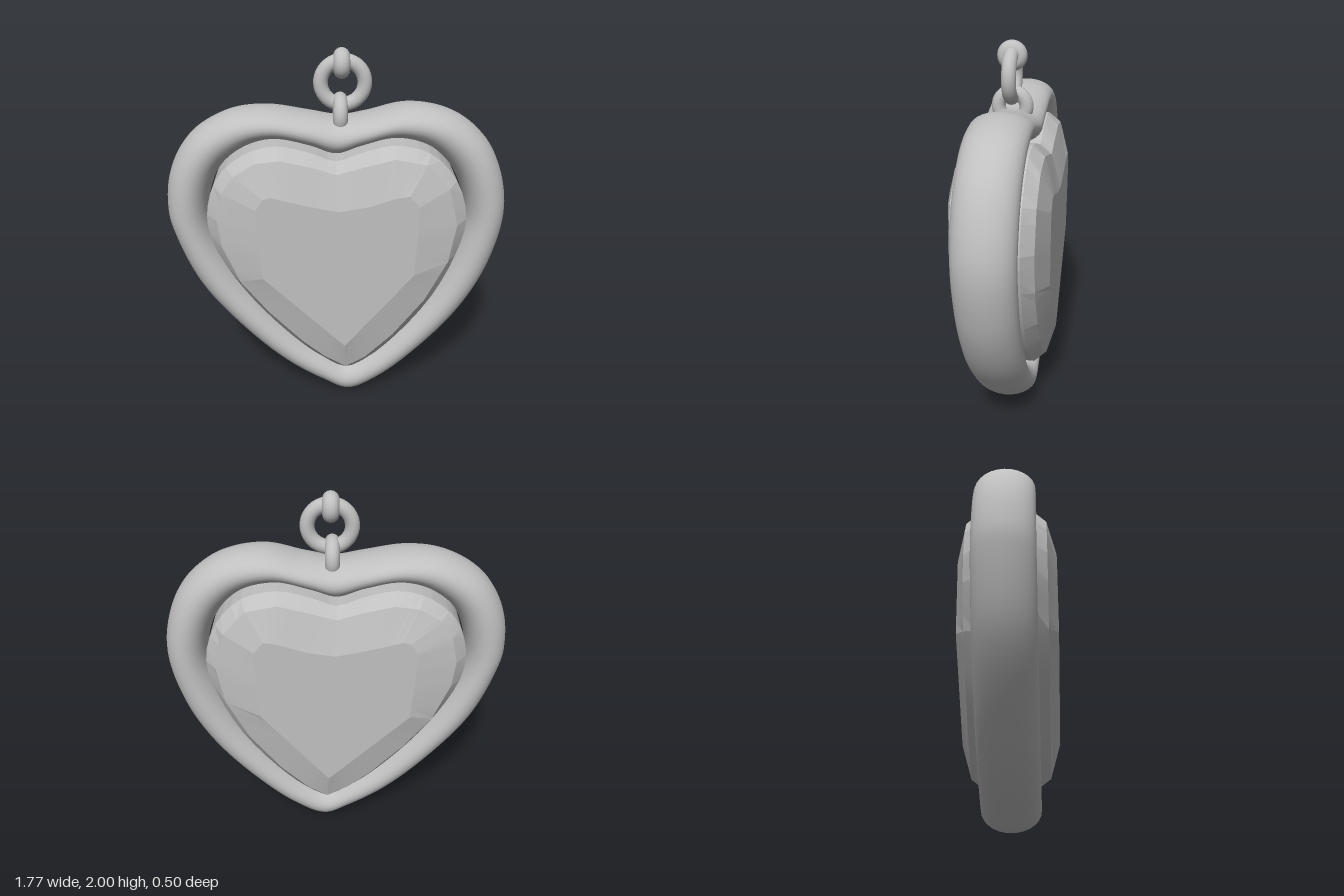
import * as THREE from 'three';
import { toCreasedNormals } from 'three/addons/utils/BufferGeometryUtils.js';

// Heart outlines, clockwise from the notch; the three lists match point by point.
const OUTER = [[0.01, 1.66], [0.15, 1.68], [0.36, 1.725], [0.59, 1.675], [0.775, 1.51], [0.878, 1.2],
  [0.83, 0.865], [0.695, 0.575], [0.485, 0.31], [0.245, 0.09], [0.065, 0.003], [-0.07, 0.06],
  [-0.31, 0.22], [-0.575, 0.495], [-0.76, 0.76], [-0.865, 1.05], [-0.885, 1.18], [-0.85, 1.395],
  [-0.735, 1.58], [-0.55, 1.69], [-0.36, 1.715], [-0.15, 1.685]];
const INNER = [[-0.01, 1.48], [0.11, 1.52], [0.28, 1.56], [0.46, 1.515], [0.6, 1.37], [0.665, 1.155],
  [0.625, 0.945], [0.51, 0.68], [0.325, 0.425], [0.165, 0.27], [0.045, 0.21], [-0.09, 0.285],
  [-0.21, 0.385], [-0.4, 0.595], [-0.55, 0.81], [-0.655, 1.035], [-0.672, 1.19], [-0.63, 1.35],
  [-0.56, 1.45], [-0.43, 1.535], [-0.3, 1.56], [-0.14, 1.525]];
const TABLE = [[0, 1.25], [0.15, 1.275], [0.28, 1.32], [0.35, 1.33], [0.4, 1.27], [0.4, 1.1],
  [0.39, 0.88], [0.29, 0.755], [0.2, 0.643], [0.1, 0.52], [0.035, 0.44], [-0.035, 0.51],
  [-0.12, 0.597], [-0.26, 0.739], [-0.39, 0.87], [-0.4, 1.05], [-0.405, 1.15], [-0.41, 1.26],
  [-0.37, 1.32], [-0.33, 1.33], [-0.24, 1.305], [-0.12, 1.275]];

const toVectors = (list) => list.map(([x, y]) => new THREE.Vector3(x, y, 0));

// Sample a closed outline, steps per listed point, rounded or straight
function sample(list, steps, smooth) {
  const v = toVectors(list);
  const curve = new THREE.CatmullRomCurve3(v, true, 'centripetal');
  return Array.from({ length: v.length * steps }, (_, k) => {
    if (smooth) return curve.getPoint(k / (v.length * steps));
    const i = Math.floor(k / steps);
    return v[i].clone().lerp(v[(i + 1) % v.length], (k % steps) / steps);
  });
}

// Skin matching closed rings; wrap joins the last ring to the first
function skin(rings, wrap) {
  const n = rings[0].length, m = rings.length, index = [];
  for (let j = 0; j < (wrap ? m : m - 1); j++) {
    for (let i = 0; i < n; i++) {
      const j2 = (j + 1) % m, i2 = (i + 1) % n;
      const a = j * n + i, b = j2 * n + i, c = j * n + i2, d = j2 * n + i2;
      index.push(a, b, c, c, b, d);
    }
  }
  const geometry = new THREE.BufferGeometry().setFromPoints(rings.flat());
  geometry.setIndex(index);
  geometry.computeVertexNormals();
  return geometry;
}

export function createModel() {
  const model = new THREE.Group();
  const silver = new THREE.MeshStandardMaterial({ color: 0xc0c0c0 });
  silver.name = 'silver grey';

  const add = (name, geometry, parent = model) => {
    const mesh = new THREE.Mesh(geometry, silver);
    mesh.name = name;
    parent.add(mesh);
    return mesh;
  };

  // Rounded heart frame: an oval section between the two outlines
  const outer = sample(OUTER, 8, true), inner = sample(INNER, 8, true);
  const sections = 28;
  const frameRings = Array.from({ length: sections }, (_, j) => {
    const a = (j / sections) * Math.PI * 2;
    return outer.map((o, i) => {
      const p = o.clone().lerp(inner[i], 0.5 - 0.5 * Math.cos(a));
      p.z = 0.15 * Math.sin(a);
      return p;
    });
  });
  add('heartFrame', skin(frameRings, true));

  // Faceted gem: girdle, crown and flat table on both sides
  const gem = new THREE.Group();
  gem.name = 'gem';
  model.add(gem);
  const centre = new THREE.Vector3(0, 0.95, 0);
  const girdle = sample(INNER, 3, true).map((p) => p.lerp(centre, 0.008));
  const coarse = sample(INNER, 3, false);
  const table = sample(TABLE, 3, false);
  const middle = table.map((p, i) => p.clone().lerp(coarse[i], 0.77));
  const at = (ring, z) => ring.map((p) => new THREE.Vector3(p.x, p.y, z));
  const crown = skin([at(table, -0.25), at(middle, -0.2), at(girdle, -0.14),
    at(girdle, 0.14), at(middle, 0.2), at(table, 0.25)], false);
  add('gemFacets', toCreasedNormals(crown, 0.12), gem);

  for (const side of [1, -1]) {
    const shape = new THREE.Shape(TABLE.map(([x, y]) => new THREE.Vector2(x * side, y)));
    const face = new THREE.ShapeGeometry(shape).translate(0, 0, 0.25);
    if (side < 0) face.rotateY(Math.PI);
    add(side > 0 ? 'frontTable' : 'backTable', face, gem);
  }

  // Hanging links
  const link = (name, radius, tube, x, y, turn, tilt = 0) => {
    const mesh = add(name, new THREE.TorusGeometry(radius, tube, 16, 40));
    mesh.position.set(x, y, 0);
    mesh.rotation.set(0, turn, tilt);
  };
  link('lowerLoop', 0.07, 0.036, 0.013, 1.675, Math.PI / 2, -0.1);
  link('middleRing', 0.108, 0.036, 0.025, 1.83, 0);
  link('topLoop', 0.034, 0.041, 0.02, 1.925, Math.PI / 2);

  return model;
}
